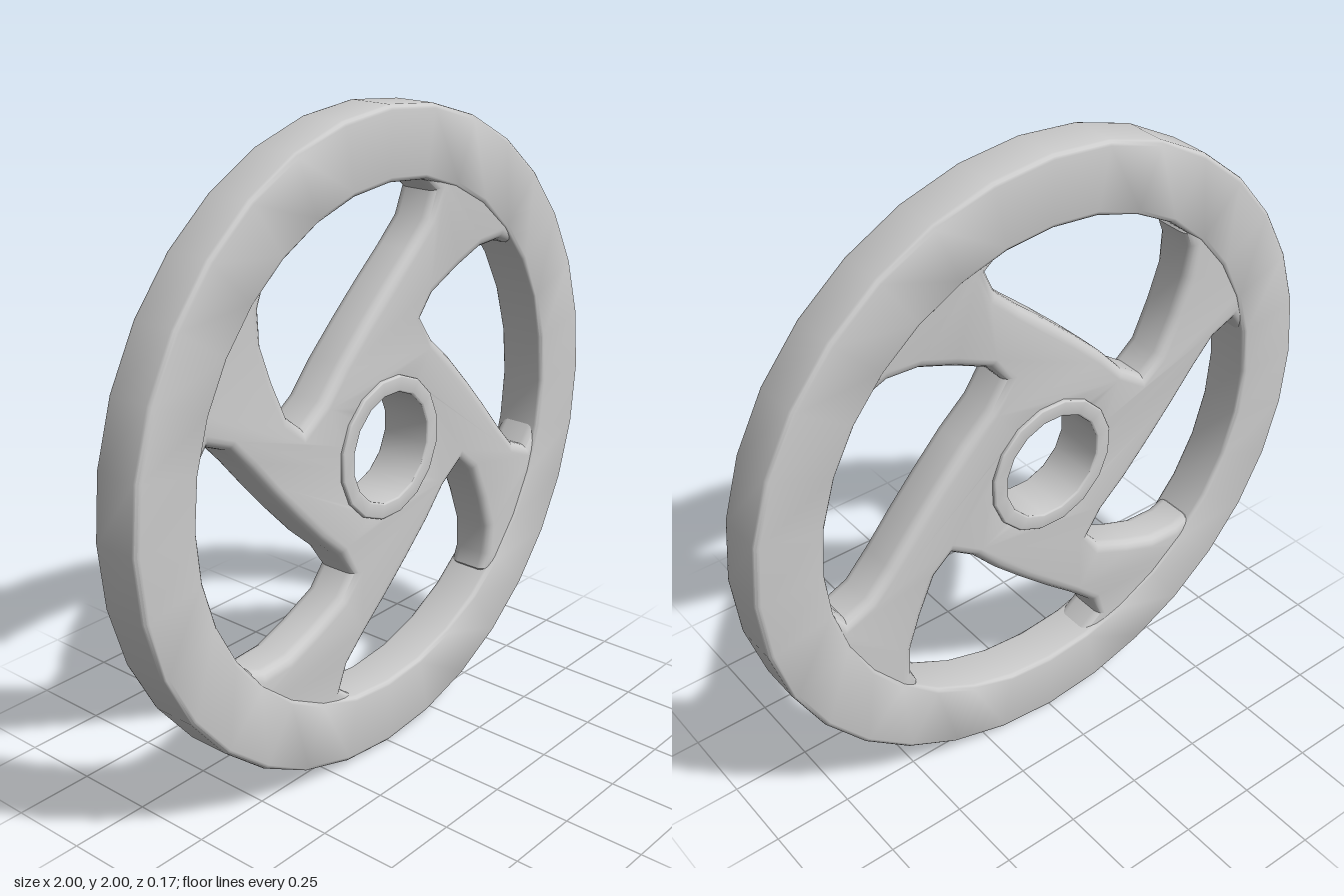
import * as THREE from 'three';
import { toCreasedNormals } from 'three/addons/utils/BufferGeometryUtils.js';

const material = new THREE.MeshStandardMaterial({ color: 0xcccccc });

function part(name, geometry, crease) {
  const mesh = new THREE.Mesh(toCreasedNormals(geometry, crease), material);
  mesh.name = name;
  return mesh;
}

// Ring of rectangular section with rounded corners, turned about the z axis
function ringGeometry(inner, outer, half, round, sides, phase = 0) {
  const corners = [
    [outer - round, -half + round, -90], [outer - round, half - round, 0],
    [inner + round, half - round, 90], [inner + round, -half + round, 180],
  ];
  const profile = [];
  for (const [r, z, start] of corners) {
    for (let i = 0; i <= 3; i++) {
      const a = THREE.MathUtils.degToRad(start + i * 30);
      profile.push(new THREE.Vector2(r + round * Math.cos(a), z + round * Math.sin(a)));
    }
  }
  profile.push(profile[0].clone());
  return new THREE.LatheGeometry(profile, sides, phase).rotateX(Math.PI / 2);
}

// Plate with four swept windows, leaving the curved spokes between them
function spokesGeometry() {
  const plate = new THREE.Shape();
  plate.absarc(0, 0, 0.94, 0, Math.PI * 2, false);

  const bore = new THREE.Path();
  bore.absarc(0, 0, 0.18, 0, Math.PI * 2, true);
  plate.holes.push(bore);

  const windowEdge = [
    [0.155, 0.77], [0.212, 0.725], [0.18, 0.65], [0.1, 0.575], [0, 0.49], [-0.1, 0.4],
    [-0.2, 0.305], [-0.28, 0.215], [-0.36, 0.16], [-0.42, 0.21], [-0.475, 0.33],
    [-0.515, 0.44], [-0.52, 0.54], [-0.5, 0.59],
  ].map(([x, y]) => new THREE.Vector2(x, y));
  // The outer side of each window is hidden inside the rim
  for (let i = 0; i <= 8; i++) {
    const a = THREE.MathUtils.degToRad(130 - i * 6.5);
    windowEdge.push(new THREE.Vector2(0.82 * Math.cos(a), 0.82 * Math.sin(a)));
  }
  const centre = new THREE.Vector2();
  for (let k = 0; k < 4; k++) {
    plate.holes.push(new THREE.Path(
      windowEdge.map((p) => p.clone().rotateAround(centre, k * Math.PI / 2))));
  }

  const bevel = 0.032;
  const depth = 0.146 - 2 * bevel;
  return new THREE.ExtrudeGeometry(plate, {
    depth, curveSegments: 32, bevelEnabled: true, bevelSegments: 4,
    bevelSize: bevel, bevelThickness: bevel, bevelOffset: -bevel,
  }).translate(0, 0, -depth / 2);
}

export function createModel() {
  const wheel = new THREE.Group();
  wheel.name = 'wheel';
  wheel.add(
    part('rim', ringGeometry(0.785, 1, 0.079, 0.015, 32), 0.8),
    part('spokes', spokesGeometry(), 0.7),
    part('hubRing', ringGeometry(0.17, 0.22, 0.085, 0.006, 16, Math.PI / 16), 0.6),
  );
  wheel.position.y = 1;

  const model = new THREE.Group();
  model.add(wheel);
  return model;
}
